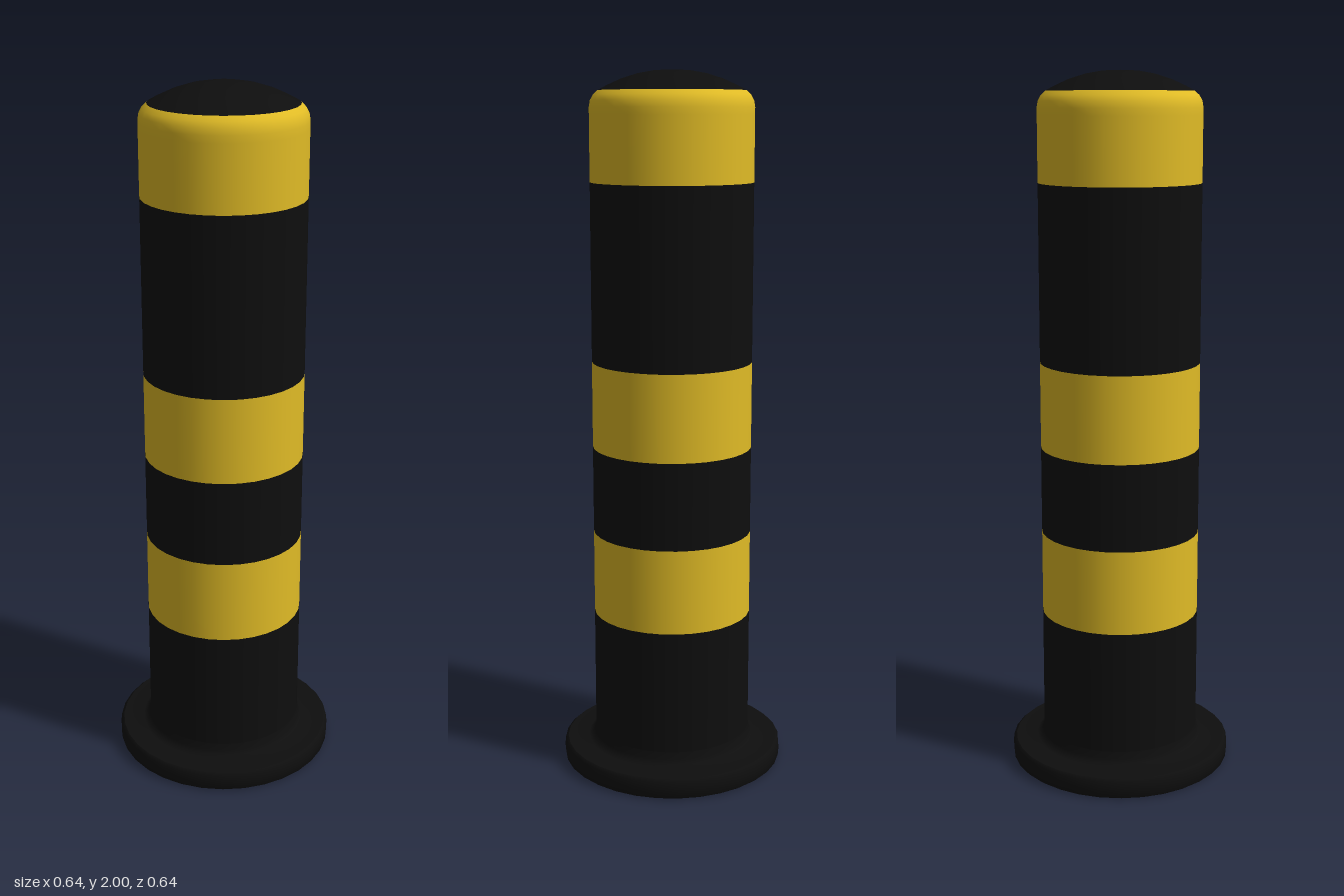
import * as THREE from 'three';

const black = new THREE.MeshStandardMaterial({ color: 0x0e0e0e });
black.name = 'black rubber';
const yellow = new THREE.MeshStandardMaterial({ color: 0xe0bb26 });
yellow.name = 'yellow paint';

const SEGMENTS = 32;
const RADIUS = 0.228;

// Revolve a bottom-to-top [radius, height] profile around the y axis
function turned(name, profile, material) {
  const points = profile.map(([r, y]) => new THREE.Vector2(r, y));
  const mesh = new THREE.Mesh(new THREE.LatheGeometry(points, SEGMENTS), material);
  mesh.name = name;
  return mesh;
}

export function createModel() {
  const group = new THREE.Group();
  group.name = 'bollard';

  // Underside disc and floor flange with softened rims
  group.add(turned('underside', [[0, 0], [0.312, 0]], black));
  group.add(turned('flangeRim', [
    [0.312, 0], [0.32, 0.006], [0.322, 0.03], [0.32, 0.052], [0.312, 0.059],
  ], black));
  group.add(turned('flangeTop', [
    [0.312, 0.059], [0.25, 0.063], [0.238, 0.068], [0.232, 0.08], [RADIUS, 0.1],
  ], black));

  // Post in alternating bands
  const bands = [
    ['lowerPost', 0.1, 0.457, black],
    ['lowerStripe', 0.457, 0.7, yellow],
    ['middlePost', 0.7, 0.95, black],
    ['middleStripe', 0.95, 1.197, yellow],
    ['upperPost', 1.197, 1.698, black],
    ['topStripe', 1.698, 1.88, yellow],
  ];
  for (const [name, y0, y1, material] of bands) {
    group.add(turned(name, [[RADIUS, y0], [RADIUS, y1]], material));
  }

  // Rounded yellow shoulder and shallow black dome
  group.add(turned('shoulder', [
    [RADIUS, 1.88], [RADIUS, 1.9], [0.225, 1.918], [0.217, 1.933], [0.204, 1.945],
  ], yellow));
  group.add(turned('domeCap', [
    [0.204, 1.945], [0.18, 1.958], [0.14, 1.976], [0.095, 1.99], [0.05, 1.998], [0, 2],
  ], black));

  return group;
}
